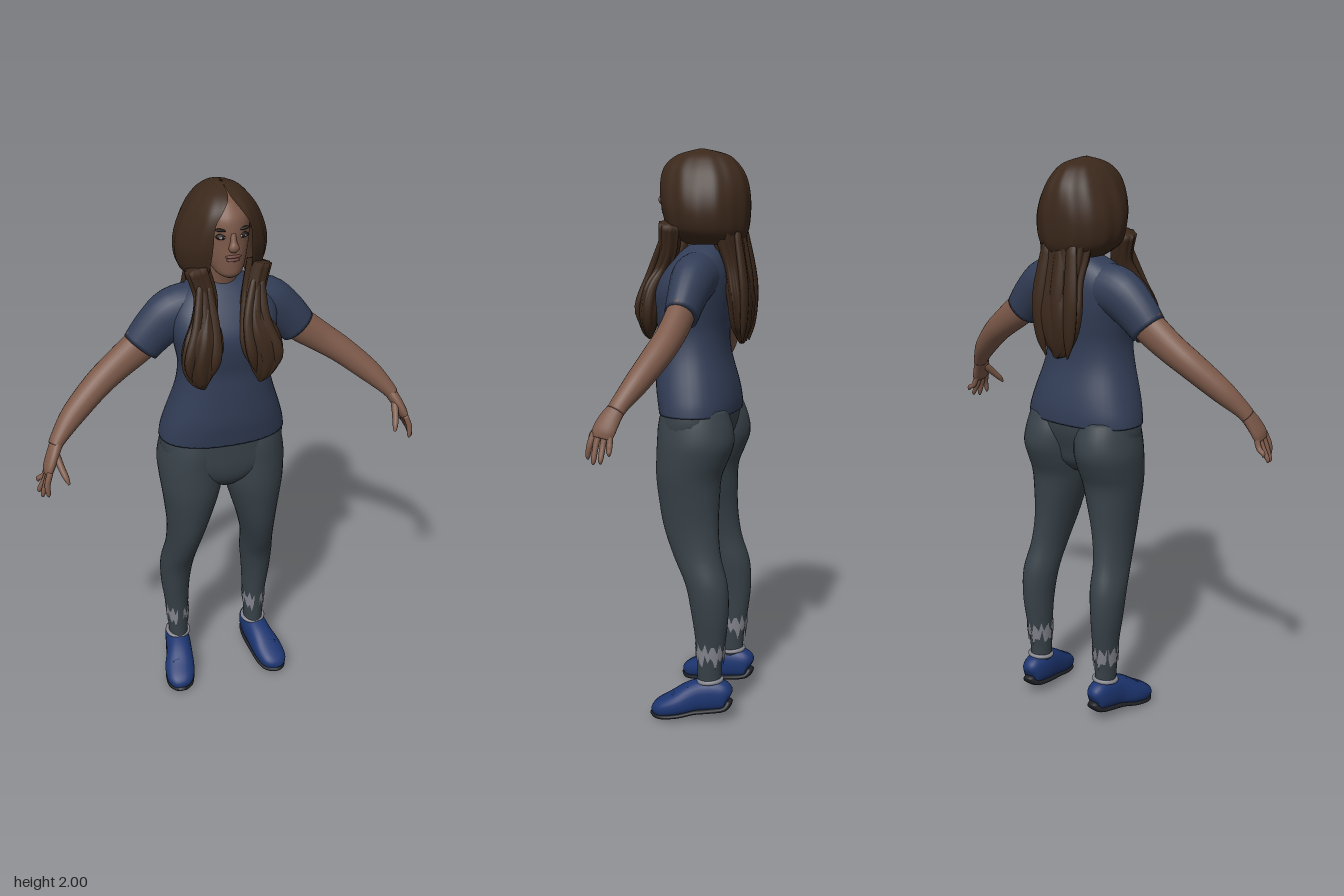
import * as THREE from 'three';

const COLORS = {
  skin: 0x7d5a4a, shirt: 0x323d56, pants: 0x384249, hair: 0x3b281b, shoe: 0x1c3570, sole: 0x1d1f24,
  patch: 0x85868f, trim: 0x5c463b, dark: 0x1c1513, lips: 0x6a443c, eye: 0x9a928a,
};
const materials = {};
for (const key in COLORS) {
  materials[key] = new THREE.MeshStandardMaterial({ color: COLORS[key] });
}
materials.hair.side = materials.patch.side = THREE.DoubleSide;

// Catmull-Rom smoothing of numeric rows
function smooth(rows, steps) {
  const out = [], last = rows.length - 1;
  for (let i = 0; i < last; i++) {
    const [a, b, c, d] = [rows[Math.max(i - 1, 0)], rows[i], rows[i + 1], rows[Math.min(i + 2, last)]];
    for (let s = 0; s < steps; s++) {
      const t = s / steps;
      out.push(b.map((v, k) => v + 0.5 * t * (c[k] - a[k]
        + t * (2 * a[k] - 5 * v + 4 * c[k] - d[k] + t * (3 * (v - c[k]) + d[k] - a[k])))));
    }
  }
  out.push(rows[last]);
  return out;
}

// Skin elliptical sections [x, y, z, side radius, ref radius, opening half-angle].
function loft(rows, { n = 24, flat = false, open = false, pow = 2, ridge = 0, ref = [0, 0, 1], steps = 4 } = {}) {
  const r = smooth(rows, steps), pos = [], idx = [];
  const up = new THREE.Vector3(...ref);
  const at = (i) => new THREE.Vector3(...r[i].slice(0, 3));
  const curve = (v) => Math.sign(v) * Math.abs(v) ** (2 / pow);
  r.forEach((row, i) => {
    const T = at(Math.min(i + 1, r.length - 1)).sub(at(Math.max(i - 1, 0)));
    if (flat) T.set(0, Math.sign(T.y), 0);
    T.normalize();
    const N = up.clone().addScaledVector(T, -up.dot(T)).normalize();
    const B = T.clone().cross(N);
    const o = open ? row[5] : 0;
    for (let j = 0; j < n; j++) {
      const a = open ? o + (2 * Math.PI - 2 * o) * j / (n - 1) : 2 * Math.PI * j / n;
      const k = 1 + ridge * (Math.sin(9 * a + i * 0.12) + 0.6 * Math.sin(16 * a));
      const p = at(i).addScaledVector(N, row[4] * k * curve(Math.cos(a)))
        .addScaledVector(B, row[3] * k * curve(Math.sin(a)));
      pos.push(p.x, p.y, p.z);
    }
  });
  const m = open ? n - 1 : n, end = (r.length - 1) * n;
  for (let i = 0; i < r.length - 1; i++) {
    for (let j = 0; j < m; j++) {
      const a = i * n + j, b = i * n + (j + 1) % n;
      idx.push(a, b, b + n, a, b + n, a + n);
    }
  }
  if (!open) {
    const c = pos.length / 3;
    pos.push(...r[0].slice(0, 3), ...r[r.length - 1].slice(0, 3));
    for (let j = 0; j < n; j++) {
      const k = (j + 1) % n;
      idx.push(c, k, j, c + 1, end + j, end + k);
    }
  }
  const g = new THREE.BufferGeometry();
  g.setAttribute('position', new THREE.Float32BufferAttribute(pos, 3));
  g.setIndex(idx);
  g.computeVertexNormals();
  return g;
}

// Rows given as extents: [y, x min, x max, z back, z front, opening]
const extents = (rows) => rows.map(([y, x0, x1, z0, z1, o = 0]) =>
  [(x0 + x1) / 2, y, (z0 + z1) / 2, (x1 - x0) / 2, (z1 - z0) / 2, o]);
const centred = (rows) => extents(rows.map(([y, h, ...rest]) => [y, -h, h, ...rest]));
const mirror = (rows, s) => rows.map(([x, ...rest]) => [x * s, ...rest]);

export function createModel() {
  const model = new THREE.Group();
  const add = (name, geometry, mat, parent = model) => {
    const mesh = new THREE.Mesh(geometry, materials[mat]);
    mesh.name = name;
    parent.add(mesh);
    return mesh;
  };
  const blob = (name, mat, x, y, z, sx, sy, sz, tilt = 0) => {
    const mesh = add(name, new THREE.SphereGeometry(1, 16, 10), mat);
    mesh.position.set(x, y, z);
    mesh.scale.set(sx, sy, sz);
    mesh.rotation.z = tilt;
  };

  // Torso and hips
  add('shirt', loft(centred([
    [1.10, 0.225, -0.145, 0.125], [1.14, 0.218, -0.145, 0.132], [1.2, 0.2, -0.135, 0.14],
    [1.3, 0.168, -0.11, 0.14], [1.38, 0.157, -0.105, 0.138], [1.45, 0.168, -0.113, 0.148],
    [1.52, 0.182, -0.12, 0.147], [1.58, 0.18, -0.12, 0.115], [1.625, 0.152, -0.112, 0.08],
    [1.655, 0.115, -0.1, 0.055], [1.68, 0.065, -0.085, 0.025],
  ]), { flat: true, n: 40, pow: 2.3 }), 'shirt');
  add('hips', loft(centred([
    [0.91, 0.05, -0.06, 0.08], [0.95, 0.13, -0.1, 0.108], [1.0, 0.2, -0.115, 0.118],
    [1.07, 0.222, -0.135, 0.117], [1.14, 0.212, -0.138, 0.115],
  ]), { flat: true, n: 36, pow: 2.3 }), 'pants');

  // Neck and head
  add('neck', loft([[0, 1.6, -0.03, 0.065, 0.06], [0, 1.67, -0.02, 0.056, 0.058], [0, 1.77, 0.005, 0.054, 0.06]]), 'skin');
  add('head', loft(centred([
    [1.715, 0.018, 0.06, 0.1], [1.73, 0.042, 0.015, 0.12], [1.76, 0.06, -0.04, 0.125],
    [1.8, 0.072, -0.08, 0.127], [1.84, 0.08, -0.1, 0.125], [1.88, 0.083, -0.11, 0.125],
    [1.92, 0.078, -0.1, 0.115], [1.96, 0.05, -0.08, 0.08],
  ]), { flat: true, n: 32 }), 'skin');
  add('nose', loft([
    [0, 1.872, 0.119, 0.009, 0.008], [0, 1.845, 0.126, 0.011, 0.012],
    [0, 1.828, 0.131, 0.018, 0.015], [0, 1.817, 0.125, 0.012, 0.009],
  ], { n: 16 }), 'skin');
  blob('upperLip', 'lips', 0, 1.797, 0.124, 0.027, 0.006, 0.009);
  blob('lowerLip', 'lips', 0, 1.786, 0.123, 0.023, 0.007, 0.009);
  for (const s of [1, -1]) {
    blob('eyeSocket', 'dark', s * 0.034, 1.862, 0.11, 0.02, 0.01, 0.011);
    blob('eye', 'eye', s * 0.034, 1.861, 0.113, 0.014, 0.006, 0.01);
    blob('iris', 'dark', s * 0.033, 1.861, 0.121, 0.005, 0.006, 0.003);
    blob('eyebrow', 'dark', s * 0.037, 1.884, 0.113, 0.024, 0.005, 0.008, s * 0.15);
  }

  // Hair: cap with a face opening, back tail and front locks
  add('hairCap', loft(centred([
    [1.68, 0.09, -0.15, 0.05, 0.75], [1.72, 0.138, -0.172, 0.105, 0.55], [1.78, 0.153, -0.18, 0.125, 0.46],
    [1.84, 0.146, -0.18, 0.136, 0.45], [1.9, 0.123, -0.168, 0.136, 0.47], [1.945, 0.096, -0.142, 0.12, 0.3],
    [1.98, 0.06, -0.1, 0.075, 0.05], [2.0, 0.004, -0.02, 0, 0],
  ]), { flat: true, open: true, n: 90, ridge: 0.012 }), 'hair');
  add('backHair', loft([
    [0, 1.78, -0.1, 0.11, 0.06], [0, 1.68, -0.115, 0.095, 0.05], [0, 1.6, -0.135, 0.085, 0.042],
    [0, 1.5, -0.152, 0.092, 0.042], [0, 1.42, -0.155, 0.075, 0.036], [0, 1.37, -0.155, 0.045, 0.024],
    [0.01, 1.34, -0.158, 0.01, 0.008],
  ], { n: 60, ridge: 0.05 }), 'hair');
  for (const x of [-0.055, -0.01, 0.05]) {
    add('backStrand', loft([
      [x, 1.72, -0.15, 0.02, 0.012], [x * 1.3, 1.55, -0.178, 0.028, 0.015],
      [x * 1.2, 1.42, -0.178, 0.022, 0.012], [x * 0.9, 1.345, -0.168, 0.003, 0.003],
    ], { n: 12 }), 'hair');
  }
  for (const s of [1, -1]) {
    const dx = s < 0 ? 0.022 : 0;
    add('frontLock', loft(mirror([
      [0.105, 1.75, 0.07, 0.04, 0.04], [0.082, 1.66, 0.085, 0.038, 0.035], [0.07 + dx, 1.59, 0.115, 0.042, 0.035],
      [0.082 + dx, 1.52, 0.14, 0.064, 0.038], [0.1 + dx, 1.45, 0.15, 0.06, 0.036],
      [0.095 + dx, 1.39, 0.153, 0.036, 0.024], [0.085 + dx, 1.355, 0.153, 0.006, 0.006],
    ], s), { n: 48, ridge: 0.06 }), 'hair');
    for (const k of [0, 1, 2]) {
      const w = (k - 1) * 0.03;
      add('frontStrand', loft(mirror([
        [0.09 + w * 0.4, 1.7, 0.1, 0.012, 0.01], [0.075 + dx + w, 1.58, 0.145, 0.016, 0.012],
        [0.095 + dx + w * 1.5, 1.47, 0.177, 0.018, 0.011], [0.1 + dx + w, 1.365 + Math.abs(w), 0.165, 0.003, 0.003],
      ], s), { n: 10 }), 'hair');
    }
  }

  // Arms, legs and shoes, one set per side
  for (const s of [1, -1]) {
    const side = new THREE.Group();
    side.name = s > 0 ? 'leftLimbs' : 'rightLimbs';
    model.add(side);
    const limb = (name, rows, mat, opts) => add(name, loft(mirror(rows, s), opts), mat, side);

    limb('sleeve', [
      [0.08, 1.575, -0.025, 0.085, 0.08], [0.16, 1.56, -0.025, 0.087, 0.075],
      [0.225, 1.51, -0.023, 0.078, 0.064], [0.278, 1.453, -0.02, 0.068, 0.055],
    ], 'shirt');
    limb('shoulderStripe', [
      [0.14, 1.648, -0.025, 0.004, 0.011], [0.21, 1.611, -0.025, 0.004, 0.011],
      [0.27, 1.561, -0.023, 0.006, 0.011], [0.32, 1.505, -0.02, 0.004, 0.011],
    ], 'trim', { n: 10 });
    limb('arm', [
      [0.24, 1.49, -0.02, 0.06, 0.045], [0.3, 1.445, -0.018, 0.058, 0.047], [0.37, 1.395, -0.01, 0.052, 0.046],
      [0.44, 1.345, 0.008, 0.047, 0.046], [0.53, 1.27, 0.045, 0.04, 0.04],
      [0.585, 1.215, 0.077, 0.028, 0.032], [0.605, 1.19, 0.09, 0.023, 0.03],
    ], 'skin');
    limb('palm', [
      [0.597, 1.2, 0.085, 0.022, 0.028], [0.617, 1.165, 0.105, 0.02, 0.036],
      [0.634, 1.13, 0.119, 0.018, 0.039], [0.642, 1.108, 0.124, 0.012, 0.034],
    ], 'skin', { n: 16 });
    const fingers = [
      [0.151, 0.166, 0.65, 1.042], [0.134, 0.142, 0.665, 1.03], [0.114, 0.116, 0.672, 1.035], [0.097, 0.089, 0.67, 1.06],
    ];
    for (const [z0, z1, x, y] of fingers) {
      limb('finger', [
        [0.636, 1.125, z0, 0.01, 0.011], [0.65, 1.085, (z0 + z1) / 2 + 0.002, 0.01, 0.01],
        [x, y + 0.012, z1, 0.008, 0.008], [x, y, z1, 0.003, 0.003],
      ], 'skin', { n: 10 });
    }
    limb('thumb', [
      [0.608, 1.17, 0.11, 0.014, 0.016], [0.598, 1.135, 0.148, 0.012, 0.013],
      [0.588, 1.108, 0.175, 0.01, 0.01], [0.582, 1.09, 0.188, 0.004, 0.004],
    ], 'skin', { n: 10 });

    limb('leg', extents([
      [1.12, 0.01, 0.208, -0.13, 0.1], [1.06, 0, 0.222, -0.152, 0.112], [1.0, 0, 0.231, -0.158, 0.115],
      [0.94, 0.002, 0.229, -0.138, 0.118], [0.88, 0.012, 0.223, -0.115, 0.118], [0.8, 0.035, 0.213, -0.11, 0.108],
      [0.7, 0.065, 0.204, -0.11, 0.088], [0.6, 0.088, 0.206, -0.122, 0.05], [0.5, 0.097, 0.219, -0.15, 0.002],
      [0.4, 0.108, 0.216, -0.155, -0.02], [0.3, 0.113, 0.204, -0.145, -0.034],
      [0.2, 0.117, 0.195, -0.13, -0.04], [0.12, 0.12, 0.19, -0.128, -0.042],
    ]), 'pants', { flat: true, n: 32 });

    // Ragged pale patch above the ankle
    const patch = loft(mirror(extents([
      [0.225, 0.114, 0.199, -0.136, -0.036, 0.25], [0.275, 0.111, 0.203, -0.144, -0.033, 0.25],
    ]), s), { flat: true, open: true, n: 30, steps: 1 });
    const p = patch.attributes.position;
    for (let i = 0; i < p.count; i++) {
      const j = i % 30;
      p.setY(i, p.getY(i) + 0.02 * Math.sin(j * 2.4) + (i < 30 ? 0.014 * Math.sin(j * 1.1) : 0));
    }
    add('anklePatch', patch, 'patch', side);

    // Shoe profile: [x, bottom, top, z, half width]
    const shoe = [
      [0.155, 0.068, 0.105, -0.16, 0.018], [0.156, 0.042, 0.14, -0.145, 0.037], [0.159, 0.032, 0.152, -0.09, 0.047],
      [0.167, 0.024, 0.135, -0.03, 0.05], [0.182, 0.012, 0.098, 0.03, 0.057], [0.192, 0.005, 0.07, 0.08, 0.051],
      [0.196, 0.006, 0.05, 0.105, 0.034], [0.197, 0.015, 0.032, 0.116, 0.012],
    ];
    const opts = { ref: [0, 1, 0], pow: 2.4, n: 28 };
    limb('shoe', shoe.map(([x, b, t, z, w]) => [x, (b + t) / 2, z, w, (t - b) / 2]), 'shoe', opts);
    limb('sole', shoe.map(([x, b, , z, w]) => [x, b + 0.007, z, w * 0.98, 0.012]), 'sole', opts);
    const collar = add('shoeCollar', new THREE.TorusGeometry(0.041, 0.008, 8, 28), 'patch', side);
    collar.position.set(s * 0.156, 0.145, -0.088);
    collar.rotation.x = Math.PI / 2 + 0.1;
    for (const [x, y, z] of [[0.172, 0.126, -0.015], [0.178, 0.11, 0.012], [0.184, 0.096, 0.036]]) {
      limb('lace', [[x - 0.026, y - 0.006, z, 0.005, 0.005], [x, y, z, 0.005, 0.005], [x + 0.026, y - 0.006, z, 0.005, 0.005]],
        'shoe', { n: 8 });
    }
  }
  return model;
}
